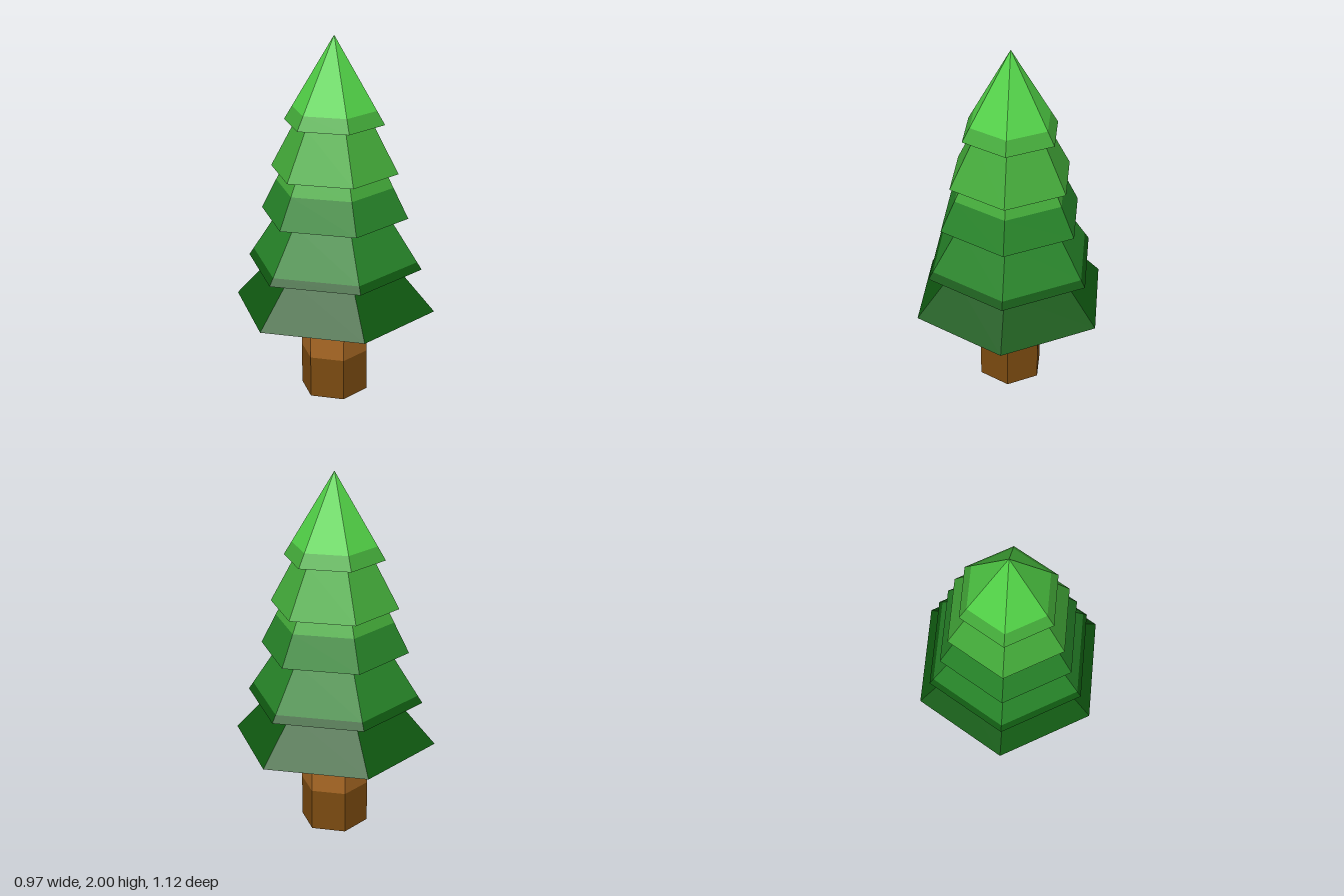
import * as THREE from 'three';

const paint = (name, color) => Object.assign(new THREE.MeshStandardMaterial({ color, flatShading: true }), { name });

// Six-sided solid of revolution with corners on the z axis; profile runs upward
function hexPart(name, profile, material) {
  const points = profile.map(([r, y]) => new THREE.Vector2(r, y));
  const mesh = new THREE.Mesh(new THREE.LatheGeometry(points, 6).toNonIndexed(), material);
  mesh.geometry.computeVertexNormals();
  mesh.name = name;
  return mesh;
}

export function createModel() {
  const tree = new THREE.Group();
  tree.name = 'pineTree';

  // Trunk in two shades
  const trunk = new THREE.Group();
  trunk.name = 'trunk';
  const r = 0.187;
  trunk.add(
    hexPart('lowerTrunk', [[0, 0], [r, 0], [r, 0.235]], paint('darkBark', 0x7a4a10)),
    hexPart('upperTrunk', [[r, 0.235], [r, 0.49]], paint('lightBark', 0xa86824)),
  );
  tree.add(trunk);

  // Greens change at fixed heights, across the tiers
  const bands = [
    { top: 0.79, material: paint('deepGreen', 0x0f5810) },
    { top: 1.2, material: paint('forestGreen', 0x268328) },
    { top: 1.613, material: paint('leafGreen', 0x43aa39) },
    { top: 2.01, material: paint('brightGreen', 0x52d247) },
  ];

  // Tiers: underside inner ring, rim and top, each as [radius, height]
  const tiers = [
    [[0.18, 0.472], [0.559, 0.512], [0.347, 0.75]],
    [[0.3, 0.75], [0.485, 0.75], [0.302, 1.034]],
    [[0.27, 1.034], [0.406, 1.034], [0.284, 1.278]],
    [[0.24, 1.278], [0.349, 1.278], [0.21, 1.54]],
    [[0.18, 1.54], [0.273, 1.54], [0, 2]],
  ];

  tiers.forEach(([inner, rim, top], i) => {
    const tier = new THREE.Group();
    tier.name = `foliageTier${i + 1}`;
    const at = (y) => [THREE.MathUtils.mapLinear(y, rim[1], top[1], rim[0], top[0]), y];
    let floor = 0;
    bands.forEach(({ top: ceiling, material }) => {
      const low = Math.max(floor, rim[1]);
      const high = Math.min(ceiling, top[1]);
      if (low < high) {
        const profile = [at(low), at(high)];
        if (low === rim[1]) profile.unshift(inner); // underside
        tier.add(hexPart(`${material.name}Foliage`, profile, material));
      }
      floor = ceiling;
    });
    tree.add(tier);
  });

  return tree;
}
